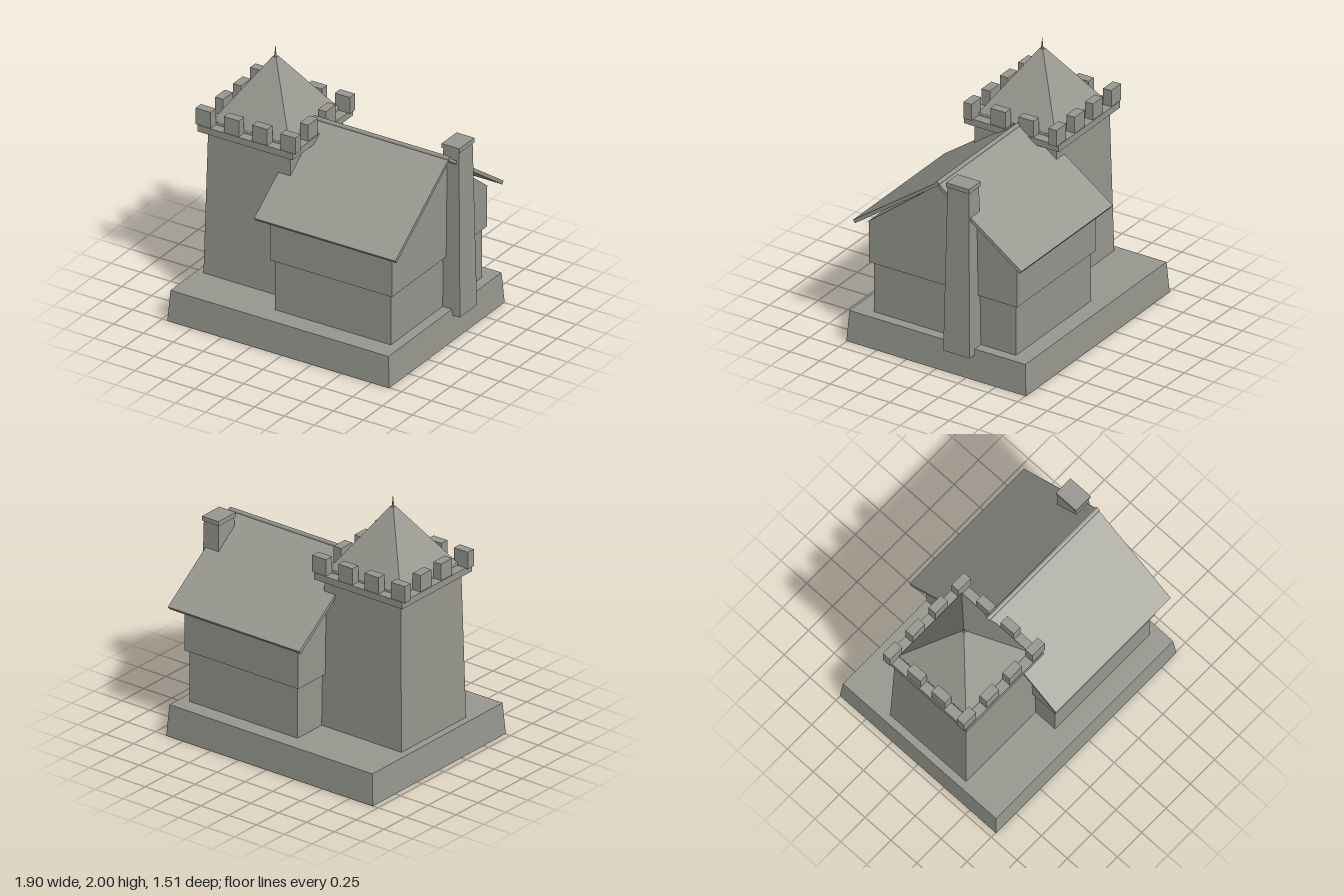
import * as THREE from 'three';

const stone = new THREE.MeshStandardMaterial({ color: 0x999991 });
stone.name = 'stone grey';

function add(parent, name, geometry) {
  const mesh = new THREE.Mesh(geometry, stone);
  mesh.name = name;
  parent.add(mesh);
  return mesh;
}

// Box given by its limits; the top may be inset by tx and tz on each side
function block(x0, x1, y0, y1, z0, z1, tx = 0, tz = tx) {
  const w = x1 - x0, h = y1 - y0, d = z1 - z0;
  const g = new THREE.BoxGeometry(w, h, d);
  const p = g.attributes.position;
  for (let i = 0; i < p.count; i++) {
    if (p.getY(i) > 0) {
      p.setX(i, p.getX(i) * (1 - 2 * tx / w));
      p.setZ(i, p.getZ(i) * (1 - 2 * tz / d));
    }
  }
  g.translate((x0 + x1) / 2, (y0 + y1) / 2, (z0 + z1) / 2);
  g.computeVertexNormals();
  return g;
}

// Prism along x with a (z, y) cross-section
function prism(points, x0, x1) {
  const shape = new THREE.Shape(points.map(([z, y]) => new THREE.Vector2(-z, y)));
  const g = new THREE.ExtrudeGeometry(shape, { depth: x1 - x0, bevelEnabled: false });
  return g.rotateY(Math.PI / 2).translate(x0, 0, 0);
}

function createTower() {
  const tower = new THREE.Group();
  tower.name = 'tower';
  const cx = -0.515, cz = 0.03;
  const square = (half, y0, y1, inset = 0) =>
    block(cx - half, cx + half, y0, y1, cz - half, cz + half, inset);

  add(tower, 'towerShaft', square(0.367, 0.24, 1.385, 0.024));
  add(tower, 'towerPlatform', square(0.397, 1.38, 1.432));

  // Battlements: four along the front and back, two between them on each side
  const steps = [-0.354, -0.118, 0.118, 0.354];
  for (const s of [-1, 1]) {
    for (const dx of steps) {
      const x = cx + dx, z = cz + s * 0.357;
      add(tower, 'merlon', block(x - 0.063, x + 0.063, 1.43, 1.56, z - 0.034, z + 0.034));
    }
    for (const dz of steps.slice(1, 3)) {
      const x = cx + s * 0.355, z = cz + dz;
      add(tower, 'sideMerlon', block(x - 0.034, x + 0.034, 1.43, 1.56, z - 0.063, z + 0.063));
    }
  }

  // Pyramid roof and finial
  add(tower, 'towerRoof', square(0.323, 1.455, 1.918, 0.308));
  add(tower, 'towerRoofSill', square(0.323, 1.43, 1.456));
  add(tower, 'finial', new THREE.CylinderGeometry(0.001, 0.009, 0.085, 8).translate(cx, 1.9575, cz));
  return tower;
}

function createHouse() {
  const house = new THREE.Group();
  house.name = 'house';
  const ridgeZ = -0.016;
  add(house, 'lowerWalls', block(-0.165, 0.805, 0.24, 0.65, -0.61, 0.585));
  add(house, 'upperWalls', block(-0.19, 0.83, 0.643, 0.965, -0.635, 0.61));
  add(house, 'gable', prism([[0.62, 0.963], [-0.645, 0.963], [ridgeZ, 1.465]], -0.19, 0.83));

  // Two sloping slabs meeting at the ridge
  for (const s of [1, -1]) {
    const z = (d) => ridgeZ + s * d;
    add(house, s > 0 ? 'frontRoof' : 'backRoof', prism(
      [[z(0), 1.468], [z(0), 1.497], [z(0.708), 0.992], [z(0.692), 0.969]], -0.27, 0.91));
  }
  const ridge = new THREE.CylinderGeometry(0.018, 0.018, 1.19, 6).rotateZ(Math.PI / 2);
  add(house, 'roofRidge', ridge.translate(0.32, 1.488, ridgeZ));

  // Tapered chimney on the gable end
  add(house, 'chimney', block(0.775, 0.95, 0.195, 1.505, -0.315, -0.092, 0.022));
  add(house, 'chimneyCap', block(0.788, 0.937, 1.5, 1.535, -0.302, -0.106));
  return house;
}

export function createModel() {
  const model = new THREE.Group();
  model.name = 'castleHouse';
  add(model, 'base', block(-0.955, 0.9, 0, 0.242, -0.755, 0.755, 0.016));
  model.add(createTower(), createHouse());
  return model;
}
